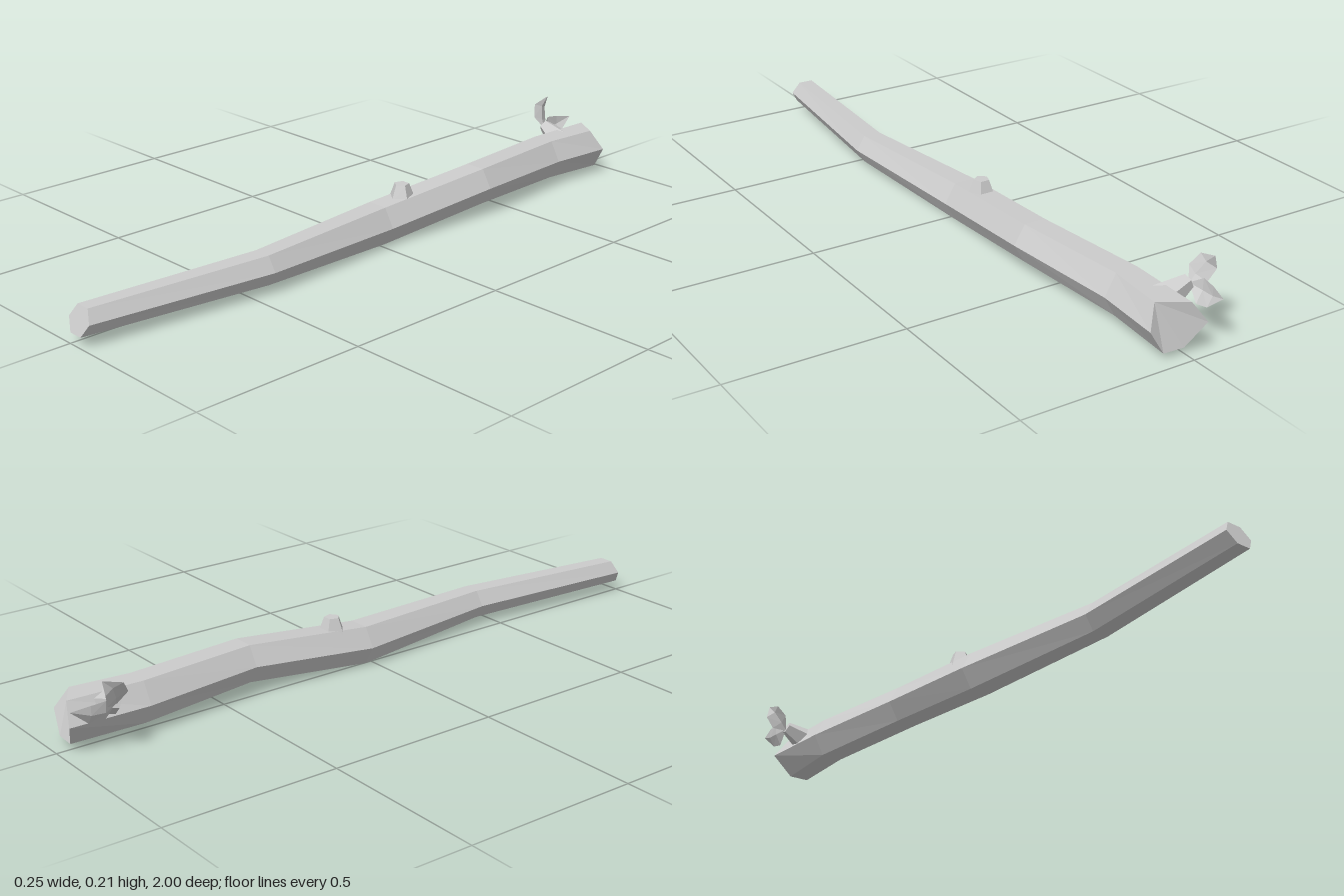
import * as THREE from 'three';

const material = new THREE.MeshStandardMaterial({ color: 0xcccccc, flatShading: true });
const leafMaterial = new THREE.MeshStandardMaterial({ color: 0xcccccc, flatShading: true, side: THREE.DoubleSide });

function facetedMesh(name, points, indices, mat) {
  const indexed = new THREE.BufferGeometry();
  indexed.setAttribute('position', new THREE.Float32BufferAttribute(points.flat(), 3));
  indexed.setIndex(indices);
  const geometry = indexed.toNonIndexed();
  geometry.computeVertexNormals();
  const mesh = new THREE.Mesh(geometry, mat);
  mesh.name = name;
  return mesh;
}

// Flat-topped hexagon, counter-clockwise from +x; lean slides the lower edge forward
function hexRing([x, y, z, rx, ry, lean = 0]) {
  return Array.from({ length: 6 }, (_, i) => {
    const a = (i * Math.PI) / 3;
    const s = Math.sin(a) / Math.sin(Math.PI / 3);
    return [x + rx * Math.cos(a), y + ry * s, z - lean * s];
  });
}

// Bent hexagonal trunk, thin at the front, broken off at the back
function createTrunk() {
  const sections = [
    [0.022, 0.065, 0.985, 0.043, 0.035, 0.013],
    [0.07, 0.063, 0.44, 0.052, 0.042],
    [0.029, 0.056, -0.02, 0.064, 0.055],
    [0.051, 0.087, -0.4, 0.064, 0.054],
    [0.017, 0.081, -0.75, 0.066, 0.059],
  ];
  const rings = sections.map(hexRing);
  rings.push([
    [0.097, 0.08, -0.95], [0.065, 0.14, -0.92], [-0.01, 0.14, -0.968],
    [-0.05, 0.083, -0.985], [0, 0.016, -0.96], [0.06, 0.016, -0.957],
  ]);
  const indices = [];
  for (let r = 0; r < rings.length - 1; r++) {
    for (let i = 0; i < 6; i++) {
      const a = r * 6 + i, b = r * 6 + ((i + 1) % 6);
      indices.push(a, a + 6, b, b, a + 6, b + 6);
    }
  }
  // Flat front cap
  for (let i = 1; i < 5; i++) indices.push(0, i, i + 1);
  // Back cap folded along its diagonal
  const e = (rings.length - 1) * 6;
  indices.push(e + 1, e, e + 5, e + 1, e + 5, e + 4, e + 1, e + 4, e + 3, e + 1, e + 3, e + 2);
  return facetedMesh('trunk', rings.flat(), indices, material);
}

// Five-sided tapered stub between two points
function createStub(name, from, to, baseRadius, tipRadius) {
  const a = new THREE.Vector3(...from), b = new THREE.Vector3(...to);
  const axis = b.clone().sub(a);
  const mesh = new THREE.Mesh(
    new THREE.CylinderGeometry(tipRadius, baseRadius, axis.length(), 5), material);
  mesh.position.copy(a).add(b).multiplyScalar(0.5);
  mesh.quaternion.setFromUnitVectors(new THREE.Vector3(0, 1, 0), axis.normalize());
  mesh.name = name;
  return mesh;
}

// Pointed leaf with a raised midrib: base, two cross-sections, tip
function createLeaf(name, [base, low, high, tip], side, fold, widths) {
  const points = [base];
  [low, high].forEach((p, k) => {
    [-1, 0, 1].forEach((s) => points.push(
      p.map((v, i) => v + s * widths[k] * side[i] + (s === 0 ? fold[i] : 0))));
  });
  points.push(tip);
  const indices = [0, 2, 1, 0, 3, 2, 1, 2, 4, 2, 5, 4, 2, 3, 5, 3, 6, 5, 4, 5, 7, 5, 6, 7];
  return facetedMesh(name, points, indices, leafMaterial);
}

export function createModel() {
  const group = new THREE.Group();
  group.name = 'branch';
  group.add(createTrunk());
  group.add(createStub('knot', [0.032, 0.1, -0.113], [0.032, 0.153, -0.113], 0.042, 0.022));

  const sprig = new THREE.Group();
  sprig.name = 'sprig';
  sprig.add(createStub('twig', [0, 0.1, -0.862], [-0.08, 0.136, -0.87], 0.045, 0.02));
  sprig.add(createLeaf('upperLeaf',
    [[-0.08, 0.125, -0.87], [-0.105, 0.152, -0.875], [-0.122, 0.188, -0.892], [-0.115, 0.215, -0.922]],
    [0.1, 0.35, 0.93], [0.009, 0, 0], [0.034, 0.03]));
  sprig.add(createLeaf('lowerLeaf',
    [[-0.082, 0.13, -0.87], [-0.088, 0.12, -0.905], [-0.086, 0.122, -0.945], [-0.082, 0.14, -0.997]],
    [-0.3, 0.95, 0], [-0.008, 0, 0], [0.034, 0.028]));
  group.add(sprig);
  return group;
}
